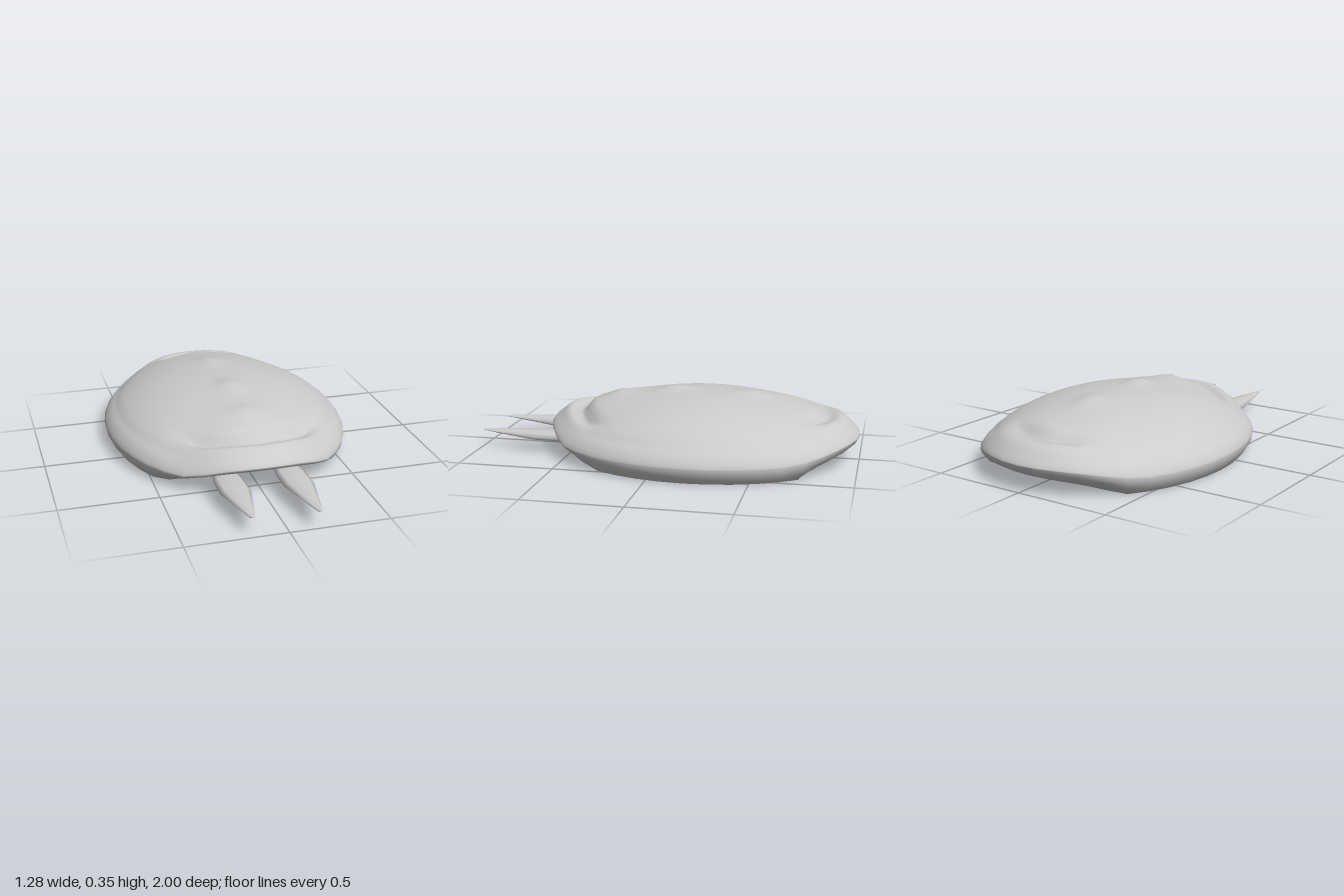
import * as THREE from 'three';

const SEG = 40, TOP = 40, LOW = 6;
const CZ = -0.185, RX = 0.64, RZ = 0.815;
const { smoothstep, lerp } = THREE.MathUtils;
const gauss = (d, s) => Math.exp(-(d * d) / (s * s));
const material = new THREE.MeshStandardMaterial({ color: 0xcccccc, side: THREE.DoubleSide });

// height of the widest line: raised at the nose and tail
const edgeHeight = c => 0.08 + 0.08 * smoothstep(c, 0.78, 1.05) + 0.05 * smoothstep(-c, 0.6, 1);

// spine bumps: [z, height, length]
const BUMPS = [[0.27, 0.02, 0.07], [-0.03, 0.018, 0.08], [-0.45, 0.018, 0.09], [-0.79, 0.015, 0.05]];

// upper surface of the shell at fraction r of the oval outline
function topPoint(r, a) {
  const s = Math.sin(a), c = Math.cos(a);
  const x = RX * r * s, z = CZ + RZ * r * c, e = edgeHeight(c);
  let y = e + (0.337 - e) * Math.pow(Math.max(0, 1 - r * r), 0.65);
  // grooves that set off the front and rear lips, and a faint one along the sides
  const front = smoothstep(c, 0.72, 0.88);
  y -= 0.045 * gauss(r - 0.8, 0.045) * front;
  y += 0.012 * gauss(r - 0.89, 0.04) * front;
  y -= 0.03 * gauss(r - 0.79, 0.045) * smoothstep(-c, 0.88, 0.98);
  y += 0.018 * gauss(r - 0.9, 0.06) * smoothstep(-c, 0.8, 0.97);
  y -= 0.005 * gauss(r - 0.9, 0.03) * (1 - smoothstep(Math.abs(c), 0.7, 0.9));
  for (const [bz, h, l] of BUMPS) y += h * gauss(x, 0.06) * gauss(z - bz, l);
  return [x, y, z];
}

// the shell curls under to a lower rim: straight across the tail, sloping up to the nose
function lowPoint(t, a) {
  const s = Math.sin(a), c = Math.cos(a);
  const k = c < 0 ? Math.min(0.94, 0.68 / -c) : 0.94 - 0.04 * smoothstep(c, 0.6, 0.9);
  const rimY = Math.max(0, 0.48 * (CZ + RZ * k * c - 0.32));
  const r = 1 - (1 - k) * Math.pow(t, 1.8);
  return [RX * r * s, lerp(edgeHeight(c), rimY, t), CZ + RZ * r * c];
}

function makeGeometry(positions, index) {
  const g = new THREE.BufferGeometry();
  g.setAttribute('position', new THREE.Float32BufferAttribute(positions, 3));
  g.setIndex(index);
  g.computeVertexNormals();
  return g;
}

function shellGeometry() {
  const pos = [...topPoint(0, 0)], index = [];
  const rows = TOP + LOW;
  for (let i = 1; i <= rows; i++) {
    for (let j = 0; j < SEG; j++) {
      const a = (j / SEG) * Math.PI * 2;
      pos.push(...(i <= TOP ? topPoint(Math.sin((i / TOP) * Math.PI / 2), a) : lowPoint((i - TOP) / LOW, a)));
    }
  }
  const id = (i, j) => (i === 0 ? 0 : 1 + (i - 1) * SEG + (j % SEG));
  for (let i = 0; i < rows; i++) {
    for (let j = 0; j < SEG; j++) {
      index.push(id(i, j), id(i + 1, j), id(i + 1, j + 1));
      if (i > 0) index.push(id(i, j), id(i + 1, j + 1), id(i, j + 1));
    }
  }
  return makeGeometry(pos, index);
}

// underside: a fan from the tail, hollowed toward the raised front rim
function undersideGeometry() {
  const pos = [-0.15, 0, -0.72], index = [];
  for (let j = 0; j < SEG; j++) pos.push(...lowPoint(1, (j / SEG) * Math.PI * 2));
  for (let j = 0; j < SEG; j++) index.push(0, 1 + ((j + 1) % SEG), 1 + j);
  return makeGeometry(pos, index);
}

// flattened spike pointing forward
function spikeGeometry(tipZ) {
  const profile = [[0, 0.45], [0.055, 0.45], [0.076, 0.57], [0.076, 0.7], [0.014, tipZ - 0.005], [0, tipZ]];
  const g = new THREE.LatheGeometry(profile.map(([r, y]) => new THREE.Vector2(r, y)), 8);
  g.rotateX(Math.PI / 2);
  g.scale(1, 0.33, 1);
  const p = g.attributes.position;
  for (let i = 0; i < p.count; i++) {
    p.setY(i, p.getY(i) + 0.078 + 0.012 * smoothstep(p.getZ(i), 0.65, 1));
  }
  g.computeVertexNormals();
  return g;
}

export function createModel() {
  const group = new THREE.Group();
  const add = (name, geometry, x = 0) => {
    const mesh = new THREE.Mesh(geometry, material);
    mesh.name = name;
    mesh.position.x = x;
    group.add(mesh);
  };
  add('shell', shellGeometry());
  add('underside', undersideGeometry());
  add('leftSpike', spikeGeometry(1.0), 0.145);
  add('rightSpike', spikeGeometry(0.975), -0.172);
  return group;
}
